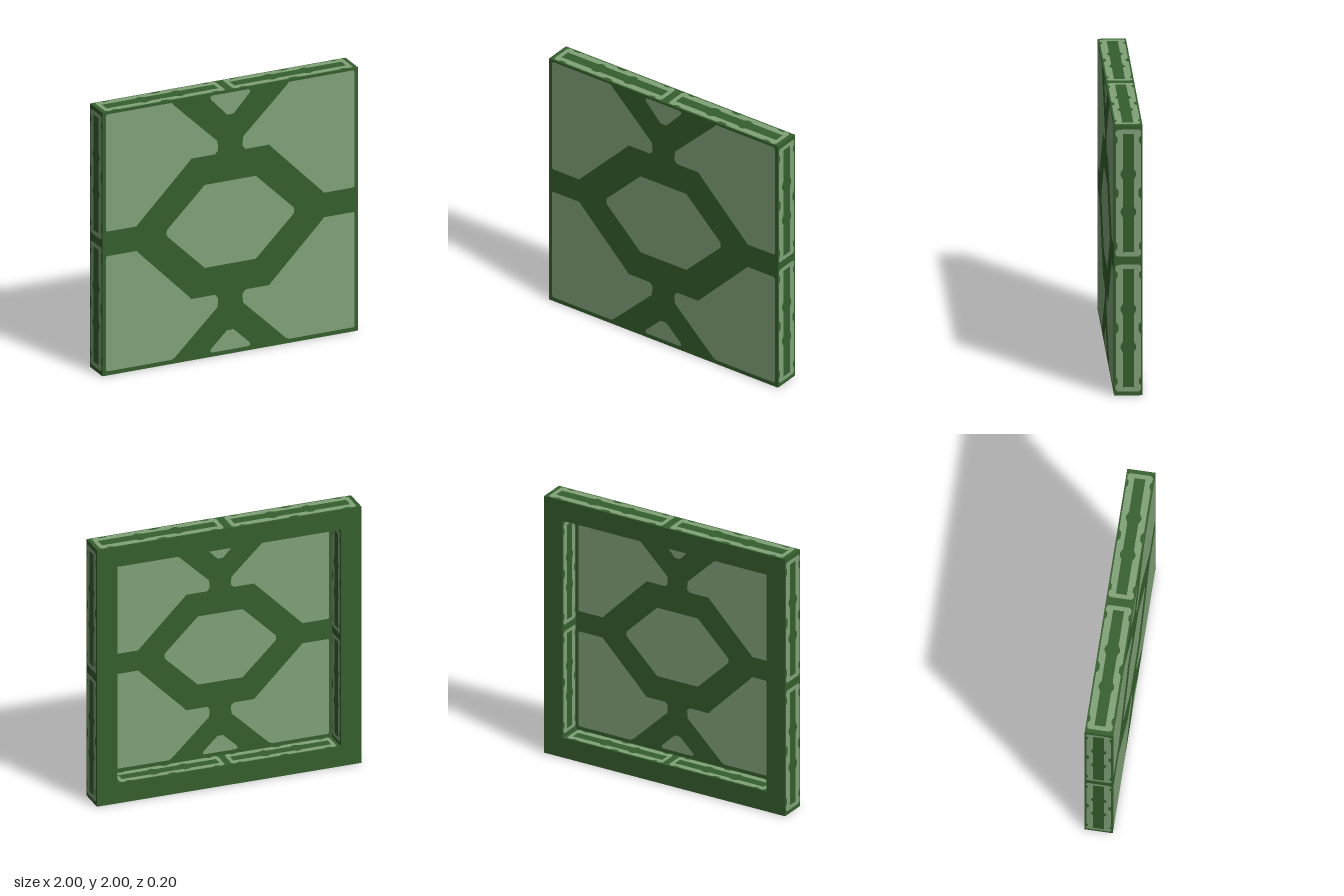
import * as THREE from 'three';
import { mergeGeometries } from 'three/addons/utils/BufferGeometryUtils.js';

const HALF = 1, OPEN = 0.845;      // half size of the block and of the rear opening
const BACK = -0.1, FLOOR = 0.075, FRONT = 0.1;
const LIFT = 0.002;                // painted plates sit just above the surface

const vecs = (pts) => pts.map(([x, y]) => new THREE.Vector2(x, y));
const flip = (pts, sx, sy) => pts.map(([x, y]) => [x * sx, y * sy]);

// Closes a quarter outline (x > 0, y > 0) by mirroring it over both axes
function fourWay(q) {
  const r = [...q].reverse();
  return vecs([...q, ...flip(r, 1, -1), ...flip(q, -1, -1), ...flip(r, -1, 1)]);
}

// Pale panes of the large face, centred on the origin
function facePattern() {
  const shapes = [fourWay([[0.2, 0.315], [0.49, 0.03], [0.5, 0.015]])];
  for (const sy of [1, -1]) {
    const edge = sy > 0 ? 0.983 : 0.968;
    for (const sx of [1, -1]) {
      shapes.push(vecs(flip([
        [0.965, edge], [0.46, edge], [0.435, 0.955], [0.1, 0.63], [0.095, 0.56],
        [0.12, 0.533], [0.305, 0.533], [0.32, 0.515], [0.715, 0.115], [0.735, 0.093],
        [0.965, 0.093], [0.974, 0.105], [0.974, edge - 0.015],
      ], sx, sy)));
    }
    shapes.push(vecs(flip([
      [-0.14, edge], [0.14, edge], [0.157, edge - 0.01], [0.15, edge - 0.03],
      [0.025, 0.818], [-0.025, 0.818], [-0.15, edge - 0.03], [-0.157, edge - 0.01],
    ], 1, sy)));
  }
  return new THREE.ShapeGeometry(shapes.map((p) => new THREE.Shape(p)));
}

// Two wavy pale rings, side by side, for the narrow edges
function edgePattern() {
  const shape = new THREE.Shape(fourWay([
    [0.02, 0.07], [0.045, 0.088], [0.36, 0.088], [0.38, 0.076], [0.41, 0.076],
    [0.425, 0.09], [0.455, 0.09], [0.47, 0.075],
  ]));
  shape.holes.push(new THREE.Path(fourWay([
    [0.1, 0.039], [0.13, 0.055], [0.15, 0.055], [0.18, 0.039], [0.438, 0.039],
  ])));
  const ring = new THREE.ShapeGeometry(shape);
  return mergeGeometries([-0.5, 0.5].map((x) => ring.clone().translate(x, 0, 0)));
}

function square(Type, h) {
  return new Type(vecs([[-h, -h], [h, -h], [h, h], [-h, h]]));
}

export function createModel() {
  const darkGreen = new THREE.MeshStandardMaterial({ color: 0x355f2d });
  darkGreen.name = 'darkGreen';
  const paleGreen = new THREE.MeshStandardMaterial({ color: 0x81a279 });
  paleGreen.name = 'paleGreen';

  const model = new THREE.Group();
  model.name = 'patternedPanel';
  const block = new THREE.Group();
  block.name = 'block';
  block.position.y = HALF;
  model.add(block);

  const add = (name, geometry, material, parent = block) => {
    const mesh = new THREE.Mesh(geometry, material);
    mesh.name = name;
    parent.add(mesh);
    return mesh;
  };

  // Hollow rear frame
  const outline = square(THREE.Shape, HALF);
  outline.holes.push(square(THREE.Path, OPEN));
  const frame = new THREE.ExtrudeGeometry(outline, { depth: FLOOR - BACK, bevelEnabled: false });
  add('rearFrame', frame.translate(0, 0, BACK), darkGreen);

  // Front slab closing the frame
  const slab = new THREE.BoxGeometry(2 * HALF, 2 * HALF, FRONT - FLOOR);
  add('frontSlab', slab.translate(0, 0, (FRONT + FLOOR) / 2), darkGreen);

  // Painted panes on the front and, smaller, on the recess floor
  const face = facePattern();
  add('frontPanes', face.clone().translate(0, 0, FRONT + LIFT), paleGreen);
  add('recessPanes', face.clone().scale(OPEN, OPEN, 1).rotateY(Math.PI)
    .translate(0, 0, FLOOR - LIFT), paleGreen);

  // Painted rings on the outer and inner walls of all four sides
  const edge = edgePattern();
  const outer = edge.clone().rotateX(-Math.PI / 2).translate(0, HALF + LIFT, 0);
  const inner = edge.clone().scale(OPEN, (FLOOR - BACK) / (FRONT - BACK), 1)
    .rotateX(Math.PI / 2).translate(0, OPEN - LIFT, (FLOOR + BACK) / 2);
  ['top', 'left', 'bottom', 'right'].forEach((side, i) => {
    const group = new THREE.Group();
    group.name = side + 'Side';
    group.rotation.z = -i * Math.PI / 2;
    add(side + 'OuterRings', outer, paleGreen, group);
    add(side + 'InnerRings', inner, paleGreen, group);
    block.add(group);
  });

  return model;
}
